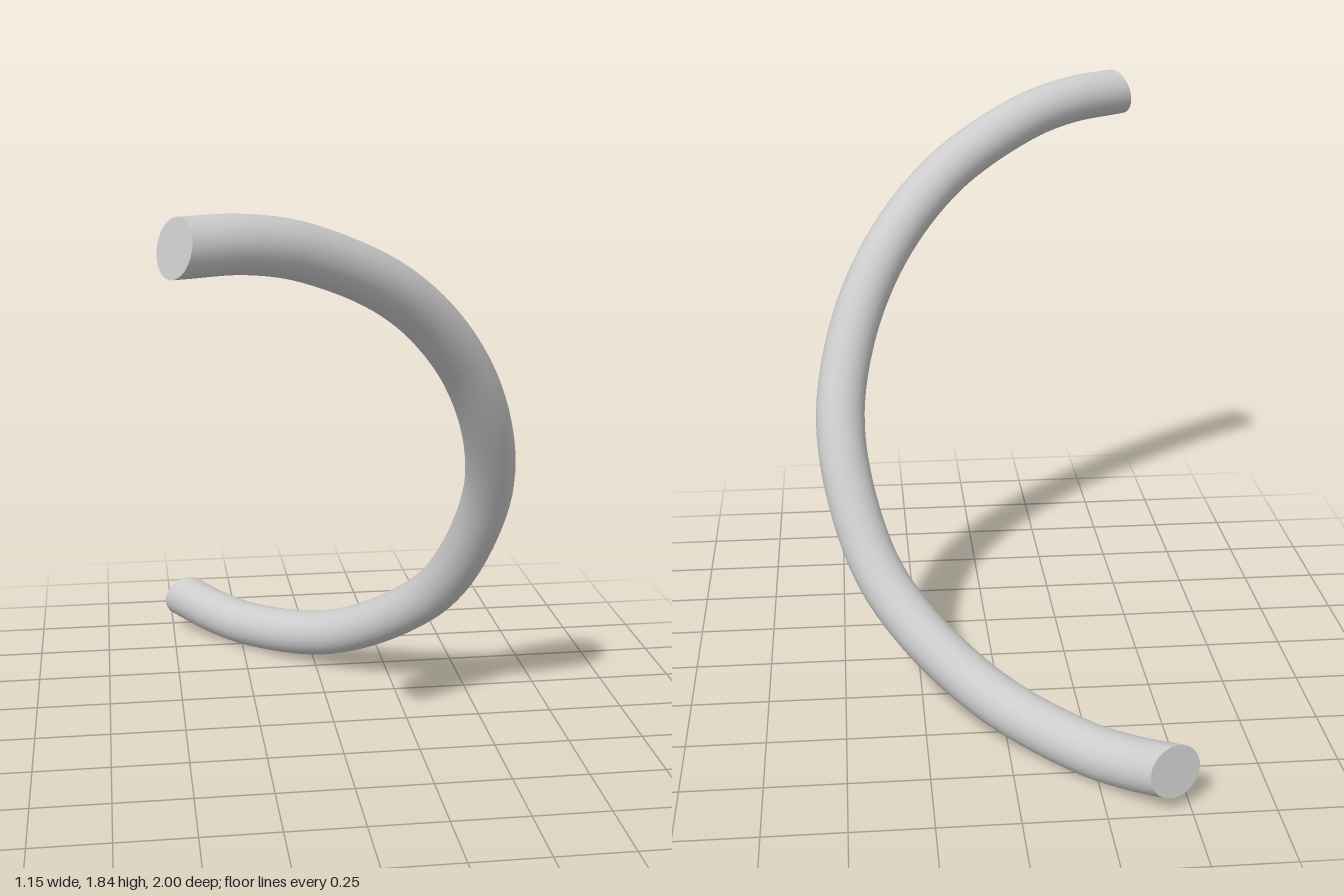
import * as THREE from 'three';

const RADIUS = 0.08;
const SIDES = 28;

// Centre line from the high front end, round the right-hand bend, to the low back end
const PATH = new THREE.CatmullRomCurve3([
  [-0.535, 1.757, 0.93], [-0.35, 1.748, 0.823], [-0.169, 1.705, 0.715], [0.116, 1.555, 0.537],
  [0.321, 1.338, 0.383], [0.446, 1.08, 0.243], [0.49, 0.8, 0.08],
  [0.406, 0.455, -0.125], [0.278, 0.284, -0.278], [0.044, 0.129, -0.497],
  [-0.21, 0.08, -0.735], [-0.335, 0.092, -0.852], [-0.45, 0.124, -0.963]
].map(p => new THREE.Vector3(...p)));

// Both ends are cut slightly askew; normal is the direction each cut faces
const ENDS = [
  { name: 'upperEndCap', t: 0, sign: -1, normal: new THREE.Vector3(-0.84, 0.22, 0.5) },
  { name: 'lowerEndCap', t: 1, sign: 1, normal: new THREE.Vector3(-0.4, 0.15, -0.9) }
];

// Slide a run of vertices along the path direction onto the plane of an end cut
function slideToCut(geometry, first, count, end) {
  const position = geometry.attributes.position;
  const centre = PATH.getPointAt(end.t);
  const along = PATH.getTangentAt(end.t);
  const p = new THREE.Vector3();
  for (let i = first; i < first + count; i++) {
    p.fromBufferAttribute(position, i);
    const gap = centre.clone().sub(p).dot(end.normal) / along.dot(end.normal);
    p.addScaledVector(along, gap);
    position.setXYZ(i, p.x, p.y, p.z);
  }
}

export function createModel() {
  const group = new THREE.Group();
  group.name = 'curvedRod';
  const material = new THREE.MeshStandardMaterial({ color: 0xcccccc });

  // Round rod swept along the centre line
  const rodGeometry = new THREE.TubeGeometry(PATH, 80, RADIUS, SIDES);
  const ring = SIDES + 1;
  slideToCut(rodGeometry, 0, ring, ENDS[0]);
  slideToCut(rodGeometry, rodGeometry.attributes.position.count - ring, ring, ENDS[1]);
  const rod = new THREE.Mesh(rodGeometry, material);
  rod.name = 'rod';
  group.add(rod);

  // Flat discs closing both cuts
  for (const end of ENDS) {
    const centre = PATH.getPointAt(end.t);
    const outward = PATH.getTangentAt(end.t).multiplyScalar(end.sign);
    const turn = new THREE.Quaternion().setFromUnitVectors(new THREE.Vector3(0, 0, 1), outward);
    const geometry = new THREE.CircleGeometry(RADIUS, SIDES);
    geometry.applyQuaternion(turn).translate(centre.x, centre.y, centre.z);
    slideToCut(geometry, 0, geometry.attributes.position.count, end);
    geometry.computeVertexNormals();
    const cap = new THREE.Mesh(geometry, material);
    cap.name = end.name;
    group.add(cap);
  }

  return group;
}
